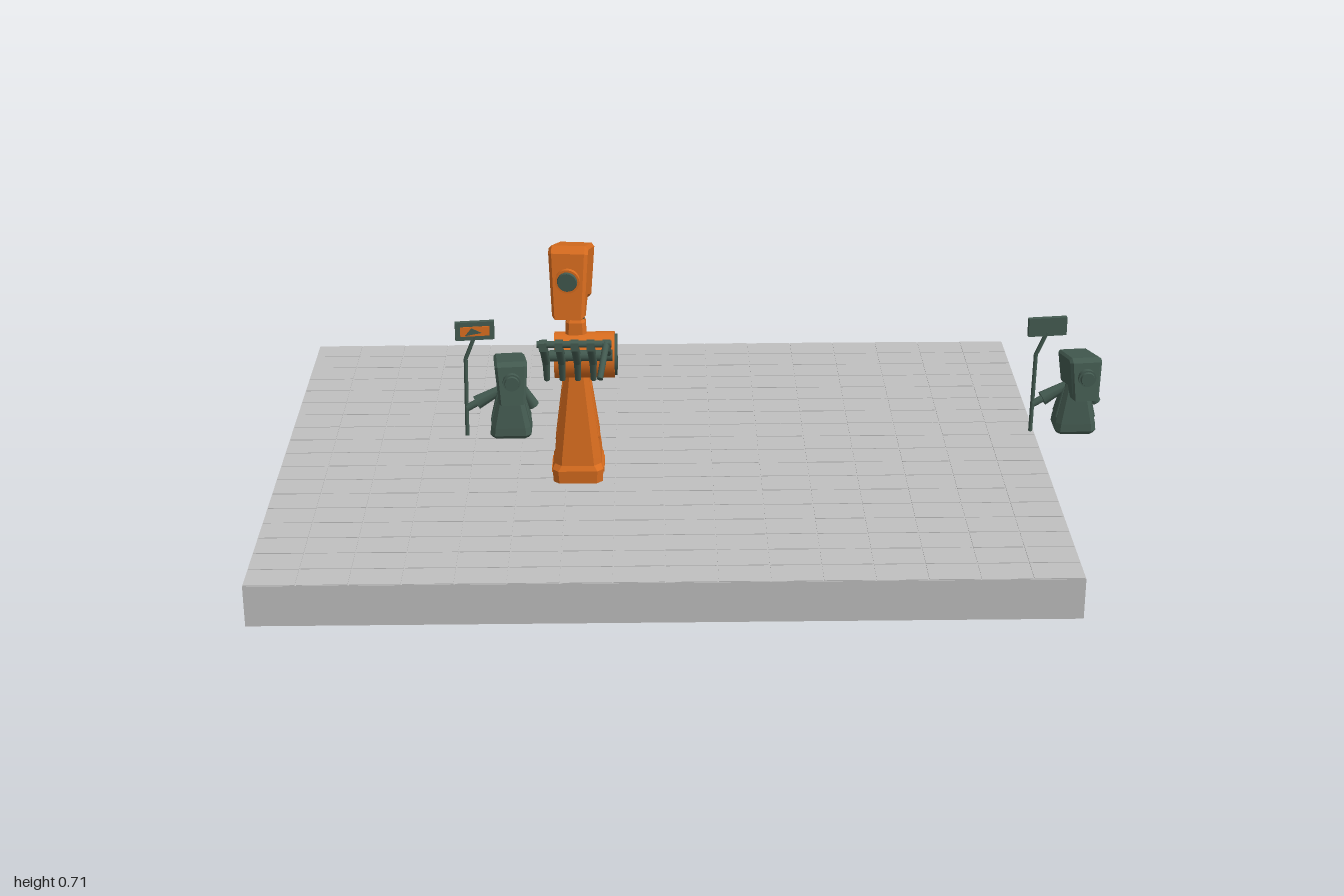
import * as THREE from 'three';
import { mergeGeometries } from 'three/addons/utils/BufferGeometryUtils.js';

const mat = (name, color, opts = {}) => {
  const m = new THREE.MeshStandardMaterial({ color, ...opts });
  m.name = name;
  return m;
};

export function createModel() {
  const grey = mat('floor grey', 0xbfbfbf);
  const orange = mat('orange shell', 0xd96d1f);
  const green = mat('dark green metal', 0x435a50);
  const model = new THREE.Group();
  model.name = 'robotDisplay';

  const add = (parent, name, geometry, material, x = 0, y = 0, z = 0) => {
    const mesh = new THREE.Mesh(geometry, material);
    mesh.name = name;
    mesh.position.set(x, y, z);
    parent.add(mesh);
    return mesh;
  };
  const group = (parent, name, x = 0, y = 0, z = 0) => {
    const g = new THREE.Group();
    g.name = name;
    g.position.set(x, y, z);
    parent.add(g);
    return g;
  };

  // Chamfered tower through rings of [y, width, depth, chamfer, z offset]
  const loft = (rings) => {
    const pos = [];
    const loops = rings.map(([y, w, d, c, oz = 0]) => {
      const a = w / 2, b = d / 2;
      return [[a, b - c], [a - c, b], [c - a, b], [-a, b - c], [-a, c - b], [c - a, -b], [a - c, -b], [a, c - b]]
        .map(([x, z]) => [x, y, z + oz]);
    });
    const tri = (...p) => p.forEach((v) => pos.push(...v));
    for (let r = 0; r < loops.length - 1; r++) {
      for (let i = 0; i < 8; i++) {
        const j = (i + 1) % 8, lo = loops[r], hi = loops[r + 1];
        tri(lo[i], hi[j], lo[j]);
        tri(lo[i], hi[i], hi[j]);
      }
    }
    const bottom = loops[0], top = loops[loops.length - 1];
    for (let i = 1; i < 7; i++) {
      tri(bottom[0], bottom[i], bottom[i + 1]);
      tri(top[0], top[i + 1], top[i]);
    }
    const g = new THREE.BufferGeometry();
    g.setAttribute('position', new THREE.Float32BufferAttribute(pos, 3));
    g.computeVertexNormals();
    return g;
  };

  // Straight round rod between two points
  const rod = (parent, name, a, b, r, material, r2 = r, sides = 10) => {
    const A = new THREE.Vector3(...a), dir = new THREE.Vector3(...b).sub(A);
    const mesh = add(parent, name, new THREE.CylinderGeometry(r2, r, dir.length(), sides), material);
    mesh.position.copy(A).addScaledVector(dir, 0.5);
    mesh.quaternion.setFromUnitVectors(new THREE.Vector3(0, 1, 0), dir.normalize());
    return mesh;
  };

  // Side profile (z, y) extruded across x
  const sidePlate = (points, width, bevel) => {
    const shape = new THREE.Shape(points.map((p) => new THREE.Vector2(...p)));
    const g = new THREE.ExtrudeGeometry(shape, {
      depth: width - 2 * bevel, bevelEnabled: bevel > 0, bevelSize: bevel, bevelThickness: bevel,
      bevelOffset: -bevel, bevelSegments: 1,
    });
    g.translate(0, 0, bevel - width / 2);
    return g.rotateY(-Math.PI / 2);
  };

  // Head: sloped hood with an undercut, narrowing downwards
  const headProfile = [[0.062, 0.081], [-0.073, 0.041], [-0.047, -0.083], [0.03, -0.055], [0.055, -0.097], [0.095, -0.086], [0.076, 0.066]];
  const addHead = (parent, shell, scale, yaw, lensRadius) => {
    const g = sidePlate(headProfile, 0.092, 0.008);
    const p = g.attributes.position;
    for (let i = 0; i < p.count; i++) p.setX(i, p.getX(i) * (0.9 + 1.2 * p.getY(i)));
    g.computeVertexNormals();
    parent.rotation.y = yaw;
    add(parent, 'headShell', g, shell).scale.set(...scale);
    const z = 0.086 * scale[2];
    rod(parent, 'lensHousing', [0, 0.005, z - 0.02], [0, 0.005, z + 0.006], lensRadius * 1.12, shell, lensRadius * 1.12, 24);
    rod(parent, 'lens', [0, 0.005, z], [0, 0.005, z + 0.012], lensRadius, green, lensRadius * 0.85, 24);
  };

  // Floor slab with shallow tiles
  add(model, 'floorSlab', new THREE.BoxGeometry(1.835, 0.098, 1.36), grey, -0.0825, 0.049, 0);
  const tiles = [], cols = 16, rows = 18;
  const tw = 1.835 / cols, td = 1.36 / rows;
  for (let c = 0; c < cols; c++) {
    for (let r = 0; r < rows; r++) {
      const h = 0.0015 + 0.0005 * ((c + (r >> 1)) % 2);
      tiles.push(new THREE.BoxGeometry(tw - 0.003, h, td - 0.003)
        .translate(-1 + (c + 0.5) * tw, 0.098 + h / 2, -0.68 + (r + 0.5) * td));
    }
  }
  add(model, 'floorTiles', mergeGeometries(tiles), grey);

  // Large robot: foot and tapering tower
  const big = group(model, 'largeRobot', -0.285, 0, 0.122);
  add(big, 'foot', loft([[0.1, 0.116, 0.124, 0.014], [0.132, 0.12, 0.128, 0.014], [0.145, 0.108, 0.116, 0.016]]), orange);
  add(big, 'tower', loft([[0.145, 0.112, 0.12, 0.018], [0.16, 0.11, 0.118, 0.018], [0.37, 0.056, 0.07, 0.012, 0.008]]), orange);
  for (const s of [-1, 1]) {
    const panel = sidePlate([[-0.027, -0.07], [0.022, -0.07], [0.028, -0.06], [0.019, 0.065], [0.013, 0.074], [-0.007, 0.074], [-0.014, 0.065], [-0.033, -0.06]], 0.006, 0.002);
    add(big, 'sidePanel', panel, orange, s * 0.0405, 0.267, 0.004).rotation.z = s * 0.128;
    add(big, 'footLatch', new THREE.BoxGeometry(0.006, 0.012, 0.07), orange, s * 0.059, 0.124, 0);
  }

  // Shoulder drum with end disc
  rod(big, 'shoulderDrum', [-0.05, 0.41, 0.014], [0.09, 0.41, 0.014], 0.054, orange, 0.054, 32);
  rod(big, 'drumDisc', [0.089, 0.41, 0.014], [0.096, 0.41, 0.014], 0.048, green, 0.048, 32);
  add(big, 'neckBlock', loft([[0.45, 0.05, 0.042, 0.008, 0.004], [0.492, 0.046, 0.04, 0.008, 0.004], [0.5, 0.036, 0.03, 0.006, 0.004]]), orange);
  for (const x of [-0.015, 0, 0.015]) rod(big, 'neckRod', [x, 0.49, 0.006], [x, 0.6, 0.042], 0.006, green);
  addHead(group(big, 'head', -0.004, 0.63, 0.038), orange, [1, 1, 1], -0.1, 0.025);

  // Hand: knuckle bar, curled fingers and one pointing finger
  const hand = group(model, 'hand');
  rod(hand, 'knuckleBar', [-0.37, 0.488, 0.262], [-0.2, 0.488, 0.262], 0.008, green);
  rod(hand, 'palmBar', [-0.345, 0.43, 0.19], [-0.2, 0.43, 0.19], 0.013, green);
  for (let i = 0; i < 5; i++) {
    const x = -0.352 + i * 0.036;
    const kx = x - 0.004;
    rod(hand, 'handBone', [x, 0.43, 0.185], [kx, 0.488, 0.262], 0.008, green);
    add(hand, 'knuckle', new THREE.BoxGeometry(0.018, 0.02, 0.024), green, kx, 0.483, 0.258);
    if (i === 4) {
      rod(hand, 'pointingFinger', [kx, 0.49, 0.262], [x - 0.018, 0.432, 0.333], 0.008, green, 0.007);
    } else {
      rod(hand, 'fingerMiddle', [kx, 0.48, 0.258], [x, 0.42, 0.205], 0.009, green);
      rod(hand, 'fingerTip', [x, 0.425, 0.207], [x, 0.37, 0.188], 0.009, green, 0.007);
    }
  }

  // Small robot holding a sign on a bent pole
  const addSmallRobot = (x, painted) => {
    const bot = group(model, 'smallRobot', x, 0, -0.052);
    add(bot, 'body', loft([[0.128, 0.088, 0.078, 0.01], [0.136, 0.1, 0.086, 0.012], [0.155, 0.096, 0.082, 0.012], [0.255, 0.05, 0.046, 0.008]]), green);
    for (const s of [-1, 1]) {
      add(bot, 'bodyPanel', sidePlate([[-0.024, -0.04], [0.024, -0.04], [0.014, 0.035], [-0.014, 0.035]], 0.006, 0.002), green, s * 0.037, 0.205, 0).rotation.z = s * 0.226;
    }
    rod(bot, 'neck', [0, 0.24, 0], [0, 0.3, 0.01], 0.013, green);
    addHead(group(bot, 'head', 0.002, 0.294, 0.018), green, [0.87, 0.61, 0.85], 0.1, 0.019);
    // Arms
    const sleeve = rod(bot, 'signArm', [-0.022, 0.242, 0], [-0.082, 0.212, 0.012], 0.012, green, 0.019, 8);
    sleeve.geometry.scale(1, 1, 0.8);
    rod(bot, 'signHand', [-0.08, 0.213, 0.012], [-0.105, 0.2, 0.016], 0.009, green);
    rod(bot, 'restingArm', [0.025, 0.245, -0.012], [0.054, 0.19, -0.02], 0.011, green, 0.015, 8);
    // Pole and sign
    rod(bot, 'poleLower', [-0.107, 0.128, 0.016], [-0.104, 0.33, 0.016], 0.005, green);
    rod(bot, 'poleUpper', [-0.104, 0.33, 0.016], [-0.08, 0.39, 0.018], 0.005, green);
    const sign = group(bot, 'sign', -0.08, 0.403, 0.016);
    sign.rotation.y = 0.12;
    add(sign, 'signBoard', new THREE.BoxGeometry(0.094, 0.046, 0.012), green);
    if (painted) {
      add(sign, 'signPanel', new THREE.BoxGeometry(0.07, 0.024, 0.003), orange, 0, 0, 0.0065);
      const mark = new THREE.Shape([[-0.024, -0.01], [0.016, -0.004], [-0.008, 0.009]].map((p) => new THREE.Vector2(...p)));
      add(sign, 'signMark', new THREE.ExtrudeGeometry(mark, { depth: 0.002, bevelEnabled: false }), green, 0, 0, 0.0075);
    }
  };
  addSmallRobot(-0.453, true);
  addSmallRobot(0.923, false);

  return model;
}
